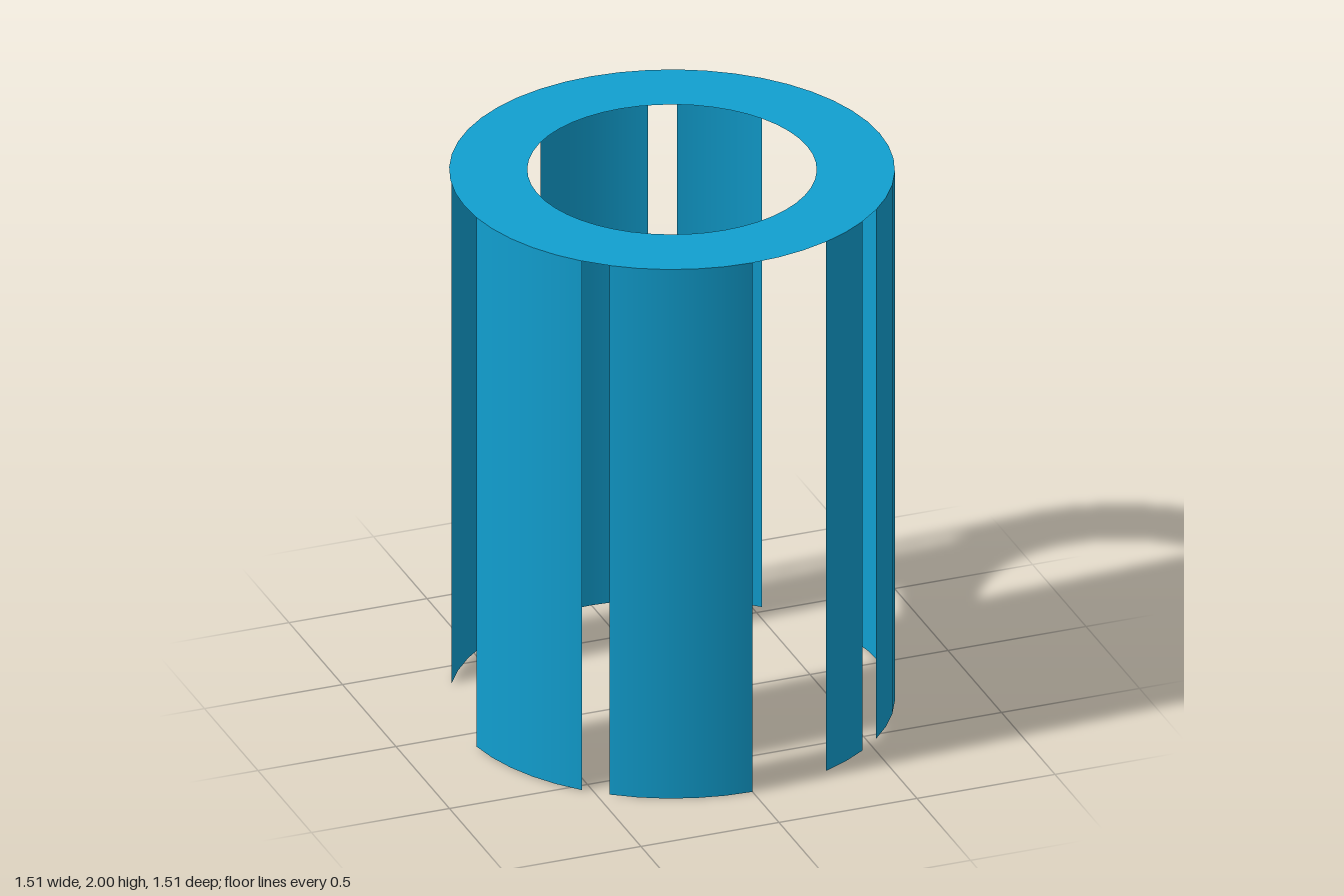
import * as THREE from 'three';

const R = 0.753, INNER = 0.489, HEIGHT = 2;
const STEP = 7.5; // degrees per facet

// start and end angle of each wall panel, in degrees from the front (+z) towards +x
const PANELS = [
  [-82.5, -45], [-37.5, 0], [22.5, 37.5], [45, 112.5],
  [135, 157.5], [165, 195], [210, 240],
];

export function createModel() {
  const group = new THREE.Group();
  group.name = 'slottedCylinder';
  const material = new THREE.MeshStandardMaterial({ color: 0x119fd0, side: THREE.DoubleSide });

  // flat annular top
  const ring = new THREE.Mesh(new THREE.RingGeometry(INNER, R, 360 / STEP, 1), material);
  ring.name = 'topRing';
  ring.rotation.x = -Math.PI / 2;
  ring.position.y = HEIGHT;
  group.add(ring);

  // thin curved wall panels hanging from the ring
  PANELS.forEach(([from, to], i) => {
    const geometry = new THREE.CylinderGeometry(
      R, R, HEIGHT, Math.round((to - from) / STEP), 1, true,
      THREE.MathUtils.degToRad(from), THREE.MathUtils.degToRad(to - from));
    const panel = new THREE.Mesh(geometry, material);
    panel.name = `wallPanel${i + 1}`;
    panel.position.y = HEIGHT / 2;
    group.add(panel);
  });

  return group;
}
